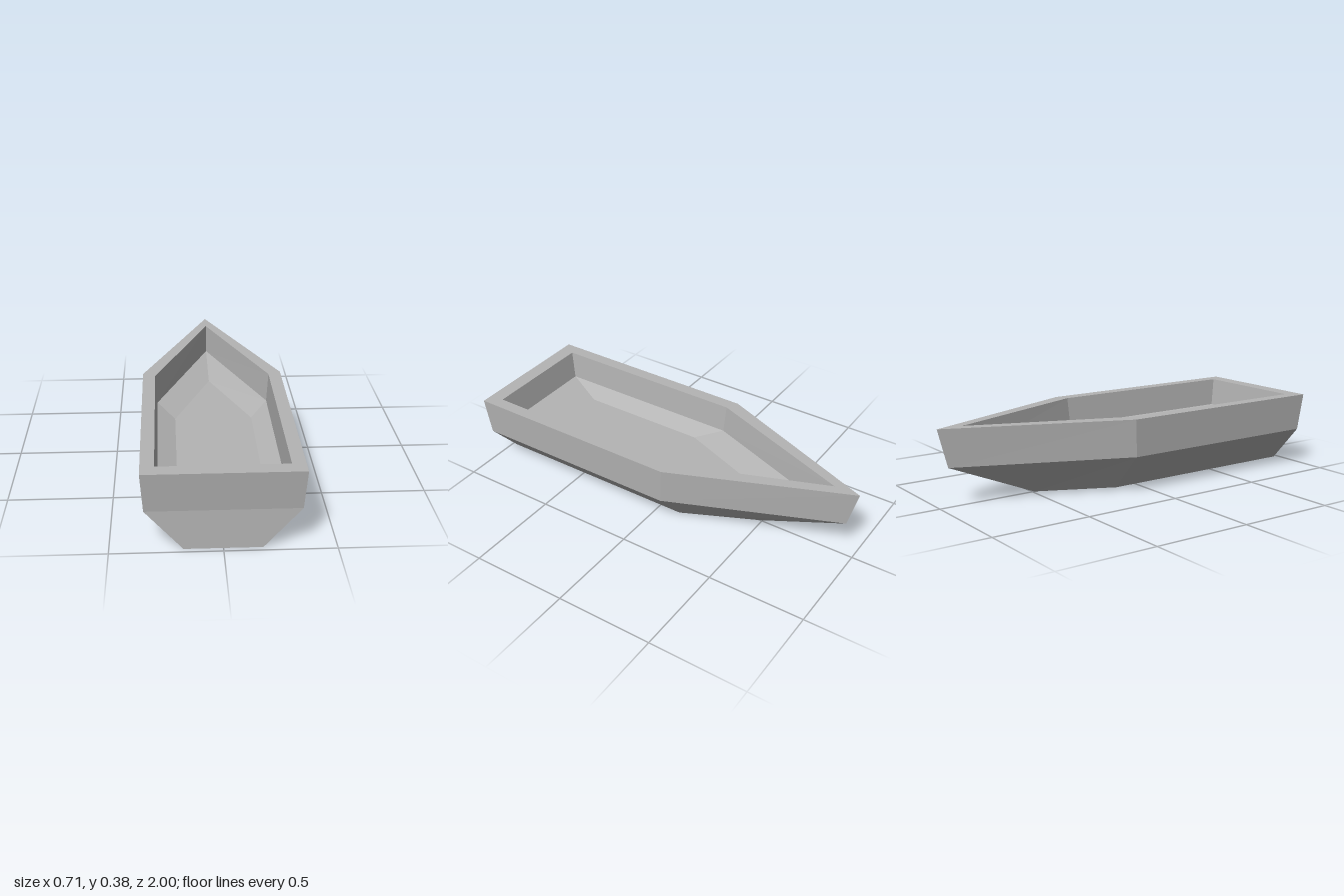
import * as THREE from 'three';

// Five-sided deck outline at height y, anticlockwise seen from above
function ring(y, halfWidth, stern, shoulder, bow) {
  return [
    [-halfWidth, y, stern], [halfWidth, y, stern],
    [halfWidth, y, shoulder], [0, y, bow], [-halfWidth, y, shoulder],
  ];
}

// Faceted band joining each outline to the next
function skin(rings) {
  const pos = [];
  for (let r = 0; r < rings.length - 1; r++) {
    const a = rings[r], b = rings[r + 1];
    for (let i = 0; i < a.length; i++) {
      const j = (i + 1) % a.length;
      for (const p of [a[i], a[j], b[j], a[i], b[j], b[i]]) pos.push(...p);
    }
  }
  return toGeometry(pos);
}

// Flat plate filling one outline, facing up or down
function cap(points, up) {
  const pos = [];
  for (let i = 1; i < points.length - 1; i++) {
    const tri = [points[0], points[i], points[i + 1]];
    if (!up) tri.reverse();
    for (const p of tri) pos.push(...p);
  }
  return toGeometry(pos);
}

function toGeometry(pos) {
  const g = new THREE.BufferGeometry();
  g.setAttribute('position', new THREE.Float32BufferAttribute(pos, 3));
  g.computeVertexNormals();
  return g;
}

export function createModel() {
  const boat = new THREE.Group();
  boat.name = 'boat';
  const grey = new THREE.MeshStandardMaterial({ color: 0xb4b4b4, flatShading: true });
  grey.name = 'hull grey';

  const add = (name, geometry) => {
    const mesh = new THREE.Mesh(geometry, grey);
    mesh.name = name;
    boat.add(mesh);
  };

  const keel = ring(0, 0.175, 0.975, -0.115, -0.49);
  const chine = ring(0.19, 0.345, 0.975, -0.115, -0.95);
  const rimOuter = ring(0.38, 0.357, 1, -0.13, -1);
  const rimInner = ring(0.38, 0.294, 0.925, -0.1, -0.87);
  const ledge = ring(0.235, 0.284, 0.905, -0.09, -0.84);
  const floor = ring(0.195, 0.195, 0.705, 0.035, -0.47);

  // Outside
  add('bottom', cap(keel, false));
  add('lowerHull', skin([keel, chine]));
  add('upperHull', skin([chine, rimOuter]));
  // Rim and inside
  add('rim', skin([rimOuter, rimInner]));
  add('innerWall', skin([rimInner, ledge]));
  add('innerBilge', skin([ledge, floor]));
  add('floor', cap(floor, true));

  return boat;
}
